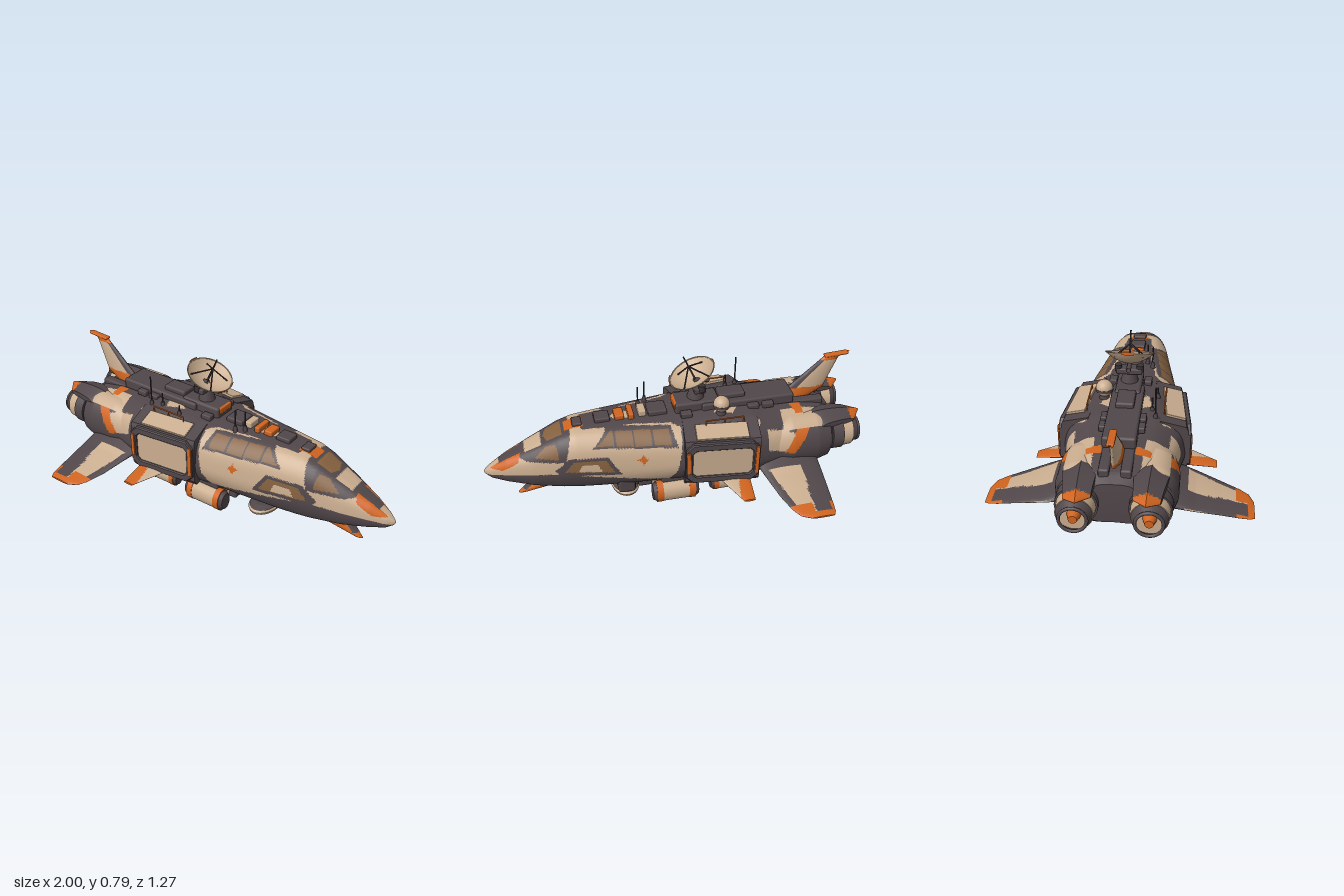
import * as THREE from 'three';
import { toCreasedNormals } from 'three/addons/utils/BufferGeometryUtils.js';
import { RoundedBoxGeometry } from 'three/addons/geometries/RoundedBoxGeometry.js';

const mat = (name, color) => Object.assign(new THREE.MeshStandardMaterial({ color, side: THREE.DoubleSide }), { name });
const M = [mat('dark plating', 0x51474a), mat('tan paint', 0xcbae90), mat('orange trim', 0xd0641f),
  mat('bronze glass', 0x85613f), mat('dark metal', 0x3a3335)];
const D = 0, T = 1, O = 2, G = 3, K = 4;

// Camouflage patches as seen from the side: colour, then x,y corners
const sideMarks = [
  [T, -.02, .5, .55, .5, .6, .36, .75, .38, .98, .31, 1.01, .22, .9, .235, .62, .26, .3, .22, .06, .19, .02, .26, 0, .36],
  [D, .3, .25, .37, .355, .56, .35, .64, .28, .6, .245],
  [G, .335, .265, .38, .338, .54, .332, .59, .27],
  [T, .4, .272, .42, .315, .5, .312, .52, .272],
  [D, .53, .5, .58, .33, .76, .325, .83, .34, .6, .5],
  [G, .61, .345, .62, .415, .67, .4, .735, .345],
  [O, .79, .38, .86, .35, .98, .262, .9, .262, .82, .31],
  [T, -.62, .4, -.46, .43, -.46, .33, -.55, .3],
  [O, -.69, .42, -.62, .42, -.55, .3, -.6, .29],
  [O, -.74, .18, -.5, .18, -.5, .165, -.74, .165],
  [T, -.45, .5, -.12, .5, -.1, .43, -.4, .42]
];
// Patches as seen from above: colour, then x,|z| corners
const topMarks = [
  [D, -.9, 0, .5, 0, .48, .07, .2, .09, .03, .12, -.04, .18, -.3, .19, -.5, .18, -.9, .12],
  [T, -.36, .03, -.28, .04, -.2, .1, -.3, .13], [T, -.5, .03, -.45, .09, -.41, .03],
  [T, -.8, .11, -.56, .12, -.55, .24, -.76, .24], [T, .2, 0, .22, .03, .3, .03, .33, 0],
  [O, .47, 0, .47, .045, .57, .04, .57, 0], [O, -.68, .08, -.62, .08, -.64, .15, -.68, .15],
  [G, .585, 0, .585, .06, .66, .055, .68, 0], [T, .69, 0, .69, .06, .78, .05, .78, 0],
  [D, .78, 0, .78, .04, .92, .026, .92, 0], [T, .92, 0, .92, .018, 1, .018, 1, 0]
];
// Row of upper side windows, frame and glass
const windowFrame = [D, .01, .397, .035, .474, .36, .474, .44, .4];
const windowGlass = [G, .03, .407, .05, .465, .345, .465, .42, .409];

function inside([, ...p], x, y) {
  let hit = false;
  for (let i = 0, j = p.length - 2; i < p.length; j = i, i += 2)
    if ((p[i + 1] > y) !== (p[j + 1] > y) && x < (p[j] - p[i]) * (y - p[i + 1]) / (p[j + 1] - p[i + 1]) + p[i]) hit = !hit;
  return hit;
}
function camouflage({ x, y, z }) {
  const az = Math.abs(z);
  let c = D;
  for (const m of sideMarks) if (inside(m, x, y)) c = m[0];
  if (y > (x > .6 ? .515 - .28 * x : .4)) for (const m of topMarks) if (inside(m, x, az)) c = m[0];
  if (az > .07 && inside(windowFrame, x, y)) c = inside(windowGlass, x, y) && (x + .06) % .095 > .01 ? G : D;
  // Four-pointed side marking
  if (Math.sqrt(Math.abs(x - .19)) + Math.sqrt(Math.abs(y - .335)) < .215) c = O;
  return c;
}

// Closed surface from a rule P(u, v), with one material per face
function loft(P, nu, nv, paint, crease = .6) {
  const pos = [], faces = M.map(() => []), pts = [];
  for (let i = 0; i <= nu; i++) for (let j = 0; j < nv; j++) {
    const p = P(i / nu, j / nv);
    pts.push(p); pos.push(p.x, p.y, p.z);
  }
  const tris = [];
  for (let i = 0; i < nu; i++) for (let j = 0; j < nv; j++) {
    const k = (j + 1) % nv, a = i * nv + j, b = a + nv, c = (i + 1) * nv + k, d = i * nv + k;
    tris.push([a, b, c], [a, c, d]);
  }
  const mid = new THREE.Vector3(), t = new THREE.Vector3();
  pts.forEach(p => t.add(p)); t.divideScalar(pts.length);
  let volume = 0;
  for (const [a, b, c] of tris) volume += pts[a].clone().sub(t).dot(pts[b].clone().sub(t).cross(pts[c].clone().sub(t)));
  for (const [a, b, c] of tris) {
    mid.copy(pts[a]).add(pts[b]).add(pts[c]).divideScalar(3);
    faces[paint(mid)].push(...(volume > 0 ? [a, b, c] : [a, c, b]));
  }
  const g = new THREE.BufferGeometry();
  g.setAttribute('position', new THREE.Float32BufferAttribute(pos, 3));
  g.setIndex(faces.flat());
  let start = 0;
  faces.forEach((f, i) => { if (f.length) g.addGroup(start, f.length, i); start += f.length; });
  return toCreasedNormals(g, crease);
}
// Linear lookup in a table of stations, closed at both ends
function station(table, u) {
  if (u <= 0 || u >= 1) { const s = table[u <= 0 ? 0 : table.length - 1].slice(); s.closed = true; return s; }
  const a = table[0][0], x = a + u * (table[table.length - 1][0] - a);
  let i = 1; while (table[i][0] < x) i++;
  const p = table[i - 1], q = table[i], f = (x - p[0]) / (q[0] - p[0]);
  return p.map((n, k) => n + (q[k] - n) * f);
}

export function createModel() {
  const root = new THREE.Group();
  root.name = 'spaceship';
  const add = (name, geo, m, x = 0, y = 0, z = 0, rx = 0, ry = 0, rz = 0, parent = root) => {
    const mesh = new THREE.Mesh(geo, Array.isArray(m) ? m : M[m]);
    mesh.name = name; mesh.position.set(x, y, z); mesh.rotation.set(rx, ry, rz);
    parent.add(mesh); return mesh;
  };
  const box = (name, m, w, h, d, x, y, z) =>
    add(name, new RoundedBoxGeometry(w, h, d, 1, Math.min(w, h, d) * .2), m, x, y, z);
  const cyl = (name, m, r1, r2, h, x, y, z, along = 'y', n = 20) =>
    add(name, new THREE.CylinderGeometry(r1, r2, h, n), m, x, y, z, 0, 0, along === 'x' ? -Math.PI / 2 : 0);
  const rod = (name, m, r, a, b, parent) => add(name,
    new THREE.TubeGeometry(new THREE.LineCurve3(new THREE.Vector3(...a), new THREE.Vector3(...b)), 1, r, 6), m, 0, 0, 0, 0, 0, 0, parent);

  // Hull: x, bottom, top, half width
  const hull = [[-.86, .22, .42, .12], [-.8, .17, .45, .18], [-.68, .15, .47, .24], [-.55, .15, .475, .26], [-.46, .16, .485, .28],
    [-.4, .16, .495, .295], [-.25, .16, .5, .28], [-.1, .16, .49, .262], [0, .16, .485, .255], [.2, .145, .48, .22], [.4, .135, .475, .185],
    [.52, .135, .468, .165], [.6, .14, .445, .15], [.75, .155, .375, .112], [.88, .18, .315, .068], [.96, .2, .268, .034], [1, .225, .24, .004]];
  const half = [[.6, 0], [.86, .08], [1, .3], [1, .5], [.91, .75], [.62, .945], [.32, .995]];
  const ring = new THREE.CatmullRomCurve3([[0, 0], ...half, [0, 1], ...half.slice().reverse().map(([z, y]) => [-z, y])]
    .map(([z, y]) => new THREE.Vector3(0, y, z)), true, 'centripetal');
  const ringPts = Array.from({ length: 128 }, (_, j) => ring.getPoint(j / 128));
  add('hull', loft((u, v) => {
    const s = station(hull, u), p = ringPts[Math.round(v * 128)], k = s.closed ? 0 : 1;
    return new THREE.Vector3(s[0], k ? s[1] + p.y * (s[2] - s[1]) : (s[1] + s[2]) / 2, p.z * s[3] * k);
  }, 250, 128, camouflage), M);

  // Thin lens-shaped blade through sections [leading edge, trailing edge, half thickness]
  const blade = (name, sections, normal, paint, n = 28, nv = 36) => {
    const N = new THREE.Vector3(...normal), last = sections.length - 1;
    return add(name, loft((u, v) => {
      const k = (u <= 0 || u >= 1) ? 0 : 1, f = Math.min(Math.max((u * n - 1) / (n - 2), 0), 1) * last;
      const i = Math.min(Math.floor(f), last - 1), t = f - i, A = sections[i], B = sections[i + 1];
      const le = new THREE.Vector3(...A[0]).lerp(new THREE.Vector3(...B[0]), t);
      const te = new THREE.Vector3(...A[1]).lerp(new THREE.Vector3(...B[1]), t);
      const a = v * Math.PI * 2;
      return le.clone().add(te).multiplyScalar(.5).addScaledVector(le.sub(te), .5 * Math.cos(a) * k)
        .addScaledVector(N, Math.sin(a) * k * (A[2] + (B[2] - A[2]) * t));
    }, n, nv, paint), M);
  };
  const tailPaint = p => p.y > .67 || (p.y < .52 && p.x < -.62) ? O : p.y < .5 || p.x > -.66 - (p.y - .5) ? D : T;
  blade('tailFin', [[[-.56, .45, 0], [-.75, .45, 0], .03], [[-.64, .52, 0], [-.84, .5, 0], .024],
    [[-.82, .68, 0], [-.91, .68, 0], .014], [[-.83, .69, 0], [-.97, .705, 0], .014]], [0, 0, 1], tailPaint, 50, 48);
  add('tailFinCap', new RoundedBoxGeometry(.13, .014, .034, 2, .006), O, -.895, .696, 0, 0, 0, -.06);
  blade('keelFin', [[[.74, .18, 0], [.46, .15, 0], .1], [[.765, .125, 0], [.62, .125, 0], .062], [[.84, .06, 0], [.75, .075, 0], .018]],
    [0, 0, 1], ({ x, y, z }) => y < .085 ? O : Math.abs(z) < .026 ? D : x > .655 ? O : x > .63 ? D : T, 40, 64);

  const pod = [[-.83, .085], [-.81, .11], [-.74, .128], [-.6, .128], [-.48, .1], [-.42, .05]];
  for (const s of [1, -1]) {
    // Wings and canards
    const side = s > 0 ? 'left' : 'right';
    blade(side + 'Wing', [[[-.4, .24, .24 * s], [-.74, .23, .24 * s], .045], [[-.43, .215, .36 * s], [-.735, .205, .36 * s], .02],
      [[-.465, .185, .48 * s], [-.725, .185, .48 * s], .013], [[-.5, .168, .57 * s], [-.718, .168, .57 * s], .01],
      [[-.53, .161, .615 * s], [-.712, .161, .615 * s], .008], [[-.58, .157, .637 * s], [-.7, .157, .637 * s], .005]], [0, 1, 0], ({ x, y, z }) => {
      const a = Math.abs(z);
      if (a > .605 || (a > .55 && (x > -.61 || x < -.7))) return O;
      if (y < .285 - .21 * a) return a < .31 ? D : T;
      return a < .32 || x < -.625 + (a > .45 ? .01 : 0) || x > -.415 - (a - .3) * .32 - .03 ? D : T;
    }, 90, 64);
    blade(side + 'Canard', [[[-.18, .2, .25 * s], [-.36, .2, .25 * s], .014], [[-.28, .175, .46 * s], [-.34, .175, .46 * s], .006]],
      [0, 1, 0], ({ x, z }) => x > -.275 + (Math.abs(z) - .4) * .2 ? T : O);

    // Engines: housing, hood, stepped nozzle
    const ez = .165 * s;
    add(side + 'EngineHousing', loft((u, v) => {
      const q = station(pod, u), r = q.closed ? 0 : q[1], a = v * Math.PI * 2;
      return new THREE.Vector3(q[0], .305 + Math.sin(a) * r * 1.14, ez + Math.cos(a) * r * .93);
    }, 60, 64, camouflage), M);
    cyl('nozzleCollar', D, .098, .098, .06, -.855, .32, ez, 'x', 32);
    cyl('nozzleBand', T, .09, .086, .06, -.91, .32, ez, 'x', 32);
    add('nozzle', new THREE.CylinderGeometry(.084, .062, .045, 32, 1, true), D, -.96, .32, ez, 0, 0, -Math.PI / 2);
    add('nozzleRim', new THREE.TorusGeometry(.062, .008, 8, 32), D, -.98, .32, ez, 0, Math.PI / 2);
    cyl('nozzleCore', O, .035, .02, .05, -.955, .32, ez, 'x', 16);
    blade('engineHood', [[[-.74, .43, .08 * s], [-.94, .415, .09 * s], .016], [[-.72, .445, .16 * s], [-.995, .425, .15 * s], .022],
      [[-.76, .41, .24 * s], [-.95, .408, .21 * s], .016]], [0, 1, 0], p => p.x < -.93 ? O : D);

    // Side bay: wedge housing, framed panel, orange end strips, sloped tan roof plate
    const bay = new THREE.Group(); bay.name = side + 'Bay';
    bay.position.set(-.21, .315, .271 * s); bay.rotation.y = s > 0 ? .11 : Math.PI - .11; root.add(bay);
    const outline = (P, pts) => { P.setFromPoints(pts.map(q => new THREE.Vector2(...q))); P.closePath(); return P; };
    const wedge = outline(new THREE.Shape(), [[-.12, -.145], [0, -.145], [.018, -.12], [.018, .11], [.01, .13], [-.12, .168]]);
    add('bayHousing', new THREE.ExtrudeGeometry(wedge, { depth: .39, bevelEnabled: false }).translate(0, 0, -.195).rotateY(-Math.PI / 2), D, 0, 0, 0, 0, 0, 0, bay);
    const rr = (P, w, h, c) => outline(P, [[-w + c, -h], [w - c, -h], [w, -h + c], [w, h - c], [w - c, h], [-w + c, h], [-w, h - c], [-w, -h + c]]);
    const frame = rr(new THREE.Shape(), .185, .118, .035);
    frame.holes.push(rr(new THREE.Path(), .16, .087, .022));
    add('bayFrame', new THREE.ExtrudeGeometry(frame, { depth: .016, bevelSize: .005, bevelThickness: .005, bevelSegments: 1 }), D, 0, 0, .015, 0, 0, 0, bay);
    add('bayPanel', new THREE.ShapeGeometry(rr(new THREE.Shape(), .164, .09, .022)), T, 0, 0, .025, 0, 0, 0, bay);
    for (const e of [-1, 1]) add('bayStrip', new RoundedBoxGeometry(.02, e > 0 ? .17 : .13, .009, 1, .002), O, e * .177, .01, .036, 0, 0, 0, bay);
    add('bayRoof', new RoundedBoxGeometry(.27, .014, .1, 1, .004), T, 0, .15, -.038, .28, 0, 0, bay);

    // Belly tanks slung under the hull
    for (const [x, y, len, r] of [[-.26, .13, .19, .052], [.025, .11, .24, .06]]) {
      const parts = [cyl('tank', T, r, r, len * .6, x, y, .215 * s, 'x', 16)];
      for (const e of [-1, 1]) parts.push(
        cyl('tankBand', O, r * 1.04, r * 1.04, len * .14, x + e * len * .36, y, .215 * s, 'x', 16),
        cyl('tankCap', D, r * (e > 0 ? .75 : 1), r * (e > 0 ? 1 : .75), len * .1, x + e * len * .46, y, .215 * s, 'x', 16));
      parts.forEach(p => { p.scale.z = .8; });
      box('tankPylon', D, len * .6, .09, .04, x, y + .05, .2 * s);
    }
    // Roof rails and roof-edge hardware
    for (const x of [-.34, -.24, -.14]) rod('railPost', O, .003, [x, .47, .19 * s], [x, .508, .19 * s]);
    rod('rail', O, .004, [-.34, .508, .19 * s], [-.14, .508, .19 * s]);
    for (const x of [-.5, -.42, -.06]) box('roofVent', D, .06, .03, .04, x, .495, .09 * s);
    box('rearFairing', D, .2, .07, .05, -.72, .44, .05 * s);
    cyl('bellyDome', T, .03, .022, .04, .12, .135, .15 * s);
    box('bellyRail', D, .5, .035, .04, -.2, .15, .1 * s);
  }

  // Roof spine and equipment
  box('roofSpine', D, .5, .06, .16, -.4, .5, 0);
  box('dishDeck', D, .24, .07, .13, -.13, .505, 0);
  box('spineStep', D, .14, .05, .09, -.32, .53, 0);
  for (const [x, m, w, d, y] of [[.08, D, .1, .1, .49], [.16, T, .04, .08, .495], [.22, O, .03, .1, .49], [.28, O, .05, .08, .485],
    [.37, D, .08, .08, .48], [.5, D, .05, .07, .466], [-.02, O, .03, .1, .52]]) box('roofHatch', m, w, .035, d, x, y, 0);
  for (const [x, z, top] of [[-.39, .15, .65], [-.33, .13, .56], [.125, .1, .6], [.165, .07, .59], [-.2, .15, .54]]) {
    rod('antenna', K, .004, [x, .46, z], [x, top, z]);
    cyl('antennaBase', D, .008, .016, .05, x, .485, z, 'y', 10);
  }
  // Sensor ball
  cyl('ballStand', D, .02, .03, .06, -.24, .5, -.115);
  add('sensorBall', new THREE.SphereGeometry(.043, 24, 16), T, -.24, .55, -.115);
  cyl('ballBand', D, .0437, .0437, .014, -.24, .545, -.115, 'y', 24);

  // Dish antenna
  cyl('dishPedestal', D, .03, .05, .08, -.13, .56, 0);
  box('dishYoke', D, .06, .03, .13, -.14, .605, 0);
  for (const s of [1, -1]) cyl('dishMotor', K, .018, .018, .035, -.15, .62, .055 * s);
  rod('dishArm', D, .012, [-.2, .63, 0], [-.12, .64, 0]);
  const dish = new THREE.Group(); dish.name = 'dish';
  dish.position.set(-.132, .635, 0); dish.rotation.z = -.43; root.add(dish);
  const bowl = Array.from({ length: 11 }, (_, i) => new THREE.Vector2(.0123 * i, .055 * (i / 10) ** 2));
  add('bowl', new THREE.LatheGeometry(bowl, 40), T, 0, 0, 0, 0, 0, 0, dish);
  add('dishRim', new THREE.TorusGeometry(.122, .003, 6, 40), T, 0, .055, 0, Math.PI / 2, 0, 0, dish);
  for (const [a, w] of [[Math.PI / 2, 1.1], [-Math.PI / 2, .5]])
    add('rimPlate', new THREE.CylinderGeometry(.128, .122, .016, 12, 1, true, a - w / 2, w), O, 0, .054, 0, 0, 0, 0, dish);
  add('feedMast', new THREE.CylinderGeometry(.004, .006, .165, 6), K, 0, .083, 0, 0, 0, 0, dish);
  for (let i = 0; i < 4; i++) {
    const a = (i + .5) * Math.PI / 2;
    rod('feedStrut', K, .004, [Math.cos(a) * .1, .036, Math.sin(a) * .1], [0, .1, 0], dish);
  }

  // Underside sensor disc on its stem
  cyl('discStem', D, .035, .025, .1, .26, .1, 0);
  for (const [name, m, r1, r2, h, y] of [['discTop', D, .05, .074, .01, .046], ['discUpperRim', T, .074, .08, .01, .036],
    ['discRim', T, .08, .076, .014, .024], ['discFace', T, .076, .06, .017, .0085]])
    cyl(name, m, r1, r2, h, .26, y, 0, 'y', 40).scale.z = 1.5;
  cyl('bellyCamera', D, .018, .018, .08, .39, .085, .04, 'x', 14);
  box('cameraMount', D, .03, .07, .03, .38, .12, .04);
  box('bellyFairing', D, .16, .04, .14, .45, .132, 0);

  // Belly machinery, scattered by a seeded rule
  let seed = 7;
  const rnd = () => (seed = (seed * 16807) % 2147483647) / 2147483647;
  for (let i = 0; i < 34; i++) {
    const x = -.55 + .85 * (i / 34), z = (rnd() - .5) * .32;
    box('bellyModule', D, .04 + rnd() * .07, .05 + rnd() * .05, .04 + rnd() * .06, x, .145, z);
  }
  return root;
}
